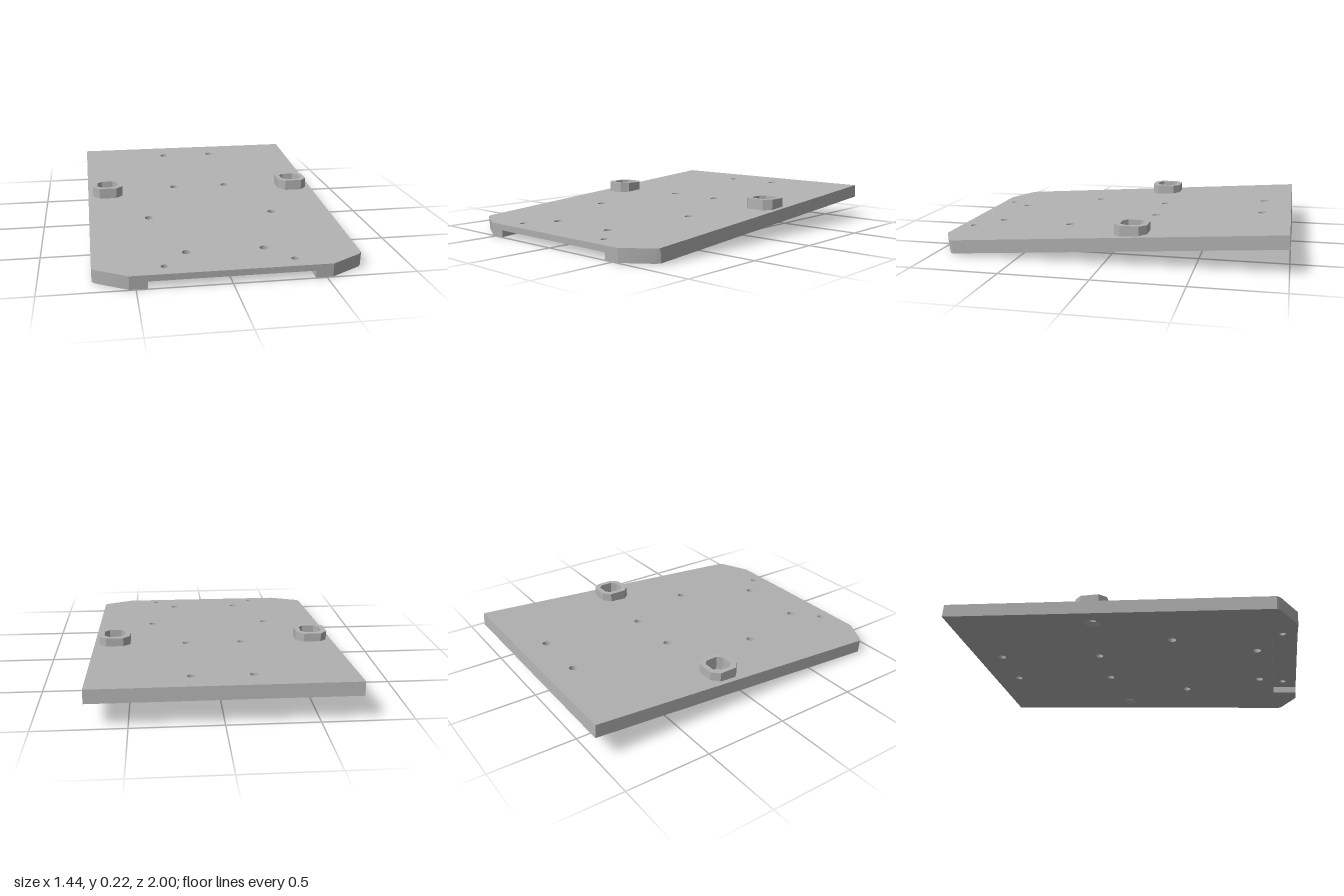
import * as THREE from 'three';
import { mergeGeometries, toCreasedNormals } from 'three/addons/utils/BufferGeometryUtils.js';

const V = (x, z) => new THREE.Vector2(x, -z); // plan points, counter-clockwise from above

// Octagon with half width h and corner cut c
const octagon = (x, z, h, c) => [
  [h, h - c], [h, c - h], [h - c, -h], [c - h, -h],
  [-h, c - h], [-h, h - c], [c - h, h], [h - c, h],
].map(([a, b]) => V(x + a, z + b));

const circle = (x, z, r, n = 24) => Array.from({ length: n }, (_, i) => {
  const a = (i / n) * Math.PI * 2;
  return V(x + r * Math.cos(a), z - r * Math.sin(a));
});

// Flat horizontal face with holes
function face(outline, holes, y, up = true) {
  const shape = new THREE.Shape(outline);
  shape.holes = holes.map((h) => new THREE.Path(h));
  const g = new THREE.ShapeGeometry(shape).toNonIndexed();
  g.rotateX(-Math.PI / 2).translate(0, y, 0);
  g.deleteAttribute('uv');
  g.deleteAttribute('normal');
  if (!up) {
    const p = g.attributes.position.array;
    for (let i = 0; i < p.length; i += 9) {
      for (let k = 0; k < 3; k++) [p[i + k], p[i + 3 + k]] = [p[i + 3 + k], p[i + k]];
    }
  }
  return g;
}

// Band of wall between two matching loops; inner walls face the middle
function wall(low, y0, high, y1, inner = false) {
  const pos = [];
  low.forEach((p, i) => {
    const j = (i + 1) % low.length;
    const a = [p.x, y0, -p.y], b = [low[j].x, y0, -low[j].y];
    const c = [high[j].x, y1, -high[j].y], d = [high[i].x, y1, -high[i].y];
    pos.push(...(inner ? [a, c, b, a, d, c] : [a, b, c, a, c, d]).flat());
  });
  const g = new THREE.BufferGeometry();
  g.setAttribute('position', new THREE.Float32BufferAttribute(pos, 3));
  return g;
}

// Loops run either way round, so force them counter-clockwise
const ccw = (pts) => (THREE.ShapeUtils.area(pts) < 0 ? pts.slice().reverse() : pts);
const build = (parts) => toCreasedNormals(mergeGeometries(parts), 0.45);

export function createModel() {
  const group = new THREE.Group();
  const grey = new THREE.MeshStandardMaterial({ color: 0xb2b2b2 });
  grey.name = 'grey plastic';

  const W = 0.721, F = 1.0026, B = -0.997, T = 0.077; // plate half width, ends, thickness
  const NX = 0.44, NZ = 0.86, NY = -0.036;            // recess under the front edge
  const PX = 0.598, PZ = -0.14;                       // posts

  // Plate outlines, with and without the front recess
  const right = [V(W, B), V(-W, B), V(-W, 0.89), V(-0.705, 0.91), V(-0.535, F)];
  const left = [V(0.535, F), V(0.705, 0.91), V(W, 0.89)];
  const full = ccw([...right, ...left]);
  const notched = ccw([...right, V(-NX, F), V(-NX, NZ), V(NX, NZ), V(NX, F), ...left]);
  const ceiling = ccw([V(-NX, F), V(NX, F), V(NX, NZ), V(-NX, NZ)]);

  const topHoles = [], bottomHoles = [], recessHoles = [], parts = [];
  for (const s of [-1, 1]) {
    // Screw holes through the plate
    for (const [x, z] of [[0.167, -0.83], [0.167, -0.195], [0.372, 0.287], [0.213, 0.77]]) {
      const c = ccw(circle(s * x, z, 0.024));
      topHoles.push(c);
      bottomHoles.push(c);
      parts.push(wall(c, -T, c, 0, true));
    }
    // Small holes opening into the recess
    const small = ccw(circle(s * 0.346, 0.917, 0.0195));
    topHoles.push(small);
    recessHoles.push(small);
    parts.push(wall(small, NY, small, 0, true));

    // Stepped socket below each post, countersunk underneath
    const x = s * PX;
    const socket = ccw(octagon(x, PZ, 0.062, 0.027));
    const step = ccw(octagon(x, PZ, 0.037, 0.015));
    const bore = ccw(circle(x, PZ, 0.025));
    const sink = ccw(circle(x, PZ, 0.045));
    topHoles.push(socket);
    bottomHoles.push(sink);
    parts.push(
      wall(socket, -0.02, socket, 0, true), face(socket, [step], -0.02),
      wall(step, -0.04, step, -0.02, true), face(step, [bore], -0.04),
      wall(bore, -0.055, bore, -0.04, true), wall(sink, -T, bore, -0.055, true),
    );

    // Upright octagonal post, level on top
    const outer = ccw(octagon(x, PZ, 0.092, 0.04));
    const post = new THREE.Mesh(build([
      wall(outer, 0.145, outer, 0.215),
      wall(socket, 0.152, socket, 0.215, true),
      face(outer, [socket], 0.215),
    ]), grey);
    post.name = s > 0 ? 'leftPost' : 'rightPost';
    group.add(post);
  }

  // Sloping plate
  parts.push(
    face(full, topHoles, 0),
    face(notched, bottomHoles, -T, false),
    face(ceiling, recessHoles, NY, false),
    wall(full, NY, full, 0),
    wall(notched, -T, notched, NY),
  );
  const plate = new THREE.Mesh(build(parts), grey);
  plate.name = 'slopingPlate';
  plate.rotation.x = 0.0713;
  plate.position.y = 0.1485;
  group.add(plate);

  return group;
}
